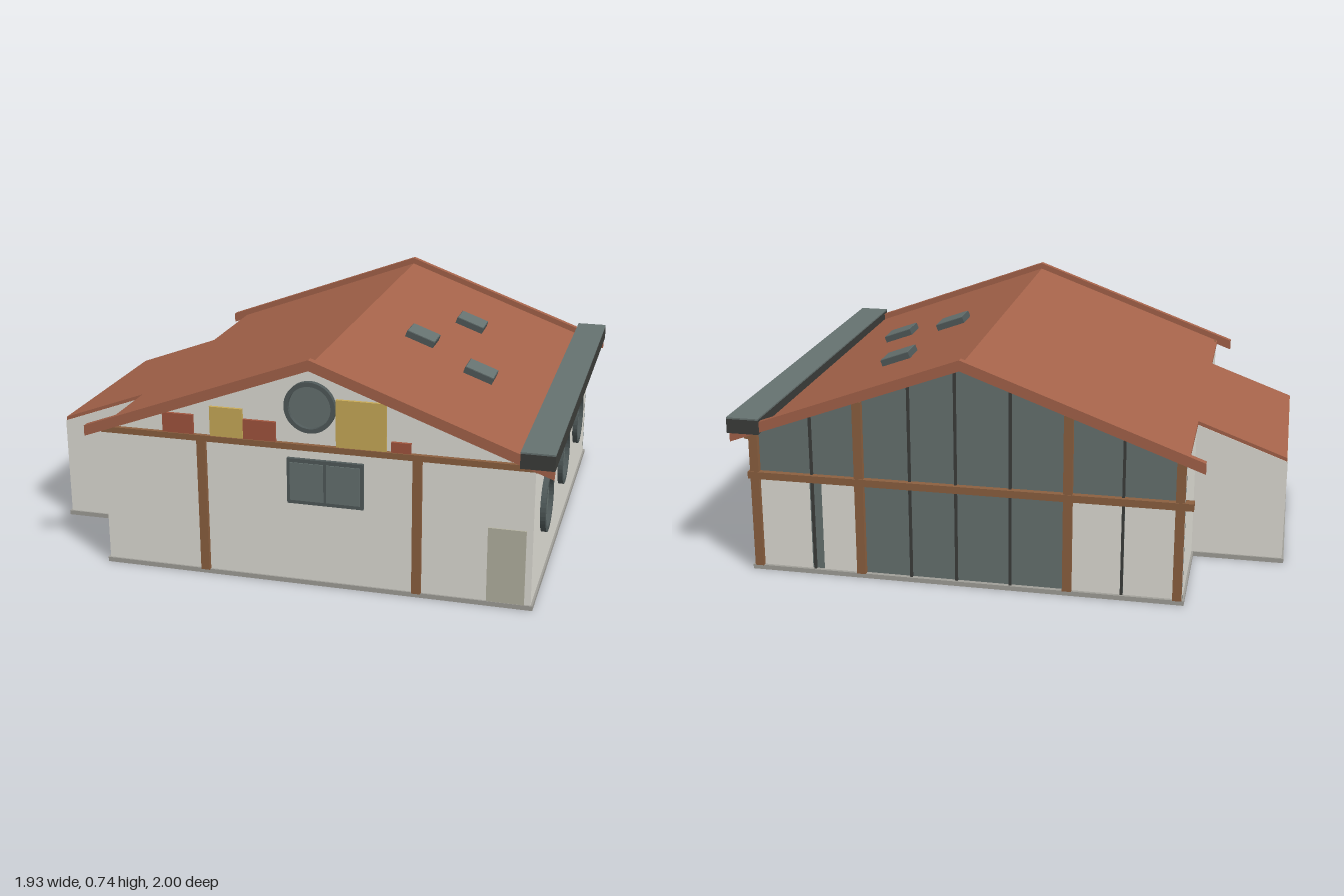
import * as THREE from 'three';

const paint = (name, color) => {
  const m = new THREE.MeshStandardMaterial({ color });
  m.name = name;
  return m;
};

export function createModel() {
  const model = new THREE.Group();
  model.name = 'house';
  const house = new THREE.Group();
  house.name = 'rotatedHouse';
  house.rotation.y = 0.477;
  model.add(house);

  const roofRed = paint('roof red', 0xa5634a);
  const plaster = paint('plaster', 0xe0ded6);
  const timber = paint('timber', 0x8c6040);
  const glass = paint('slate glass', 0x667270);
  const dark = paint('dark metal', 0x3c3d3a);
  const rim = paint('window rim', 0x505a5a);
  const stone = paint('plinth grey', 0xa19f99);
  const doorTone = paint('door', 0xb5b3a2);
  const yellow = paint('ochre', 0xc9ab58);
  const brick = paint('brick', 0xa2553e);

  const add = (name, geo, mat) => {
    const mesh = new THREE.Mesh(geo, mat);
    mesh.name = name;
    house.add(mesh);
    return mesh;
  };
  // Box given by its limits: x along the ridge, z across it
  const box = (name, mat, x0, x1, y0, y1, z0, z1) => {
    const g = new THREE.BoxGeometry(x1 - x0, y1 - y0, z1 - z0);
    g.translate((x0 + x1) / 2, (y0 + y1) / 2, (z0 + z1) / 2);
    return add(name, g, mat);
  };
  // Profile of [z, y] points, extruded along x
  const prism = (name, mat, pts, x0, x1) => {
    const shape = new THREE.Shape(pts.map(([z, y]) => new THREE.Vector2(z, y)));
    const g = new THREE.ExtrudeGeometry(shape, { depth: x1 - x0, bevelEnabled: false });
    g.rotateY(-Math.PI / 2);
    g.translate(x1, 0, 0);
    return add(name, g, mat);
  };

  const L = -0.695, R = 0.673, F = 0.68, B = -0.68;   // wall limits
  const EL = -0.378, ER = 0.297, EB = -0.97;          // rear extension
  const SLOPE = 0.368, PEAK = 0.714, T = 0.012, BASE = 0.015;
  const roofY = (z) => PEAK - SLOPE * Math.abs(z);
  const under = (z) => roofY(z) - T;
  const W = 0.01;                                     // wall thickness

  // Walls
  box('frontWall', plaster, L, R, BASE, 0.45, F - W, F);
  const gable = [[B, BASE], [F, BASE], [F, under(F)], [0, under(0)], [B, under(B)]];
  prism('leftGableWall', plaster, gable, L, L + W);
  box('backWallLeft', plaster, L, EL, BASE, under(B), B, B + W);
  box('backWallRight', plaster, ER, R, BASE, under(B), B, B + W);
  box('extensionBackWall', plaster, EL, ER, BASE, under(EB), EB, EB + W);
  const side = [[EB, BASE], [B + W, BASE], [B + W, under(B + W)], [EB, under(EB)]];
  prism('extensionSideWall', plaster, side, EL, EL + W);
  prism('extensionSideWall', plaster, side, ER - W, ER);

  // Plinth ring, open underneath
  const P = 0.006, Q = 0.022;
  [
    [L - P, R + P, F - Q, F + P], [L - P, L + Q, B - P, F + P], [R - Q, R + P, B - P, F + P],
    [L - P, EL + Q, B - P, B + Q], [ER - Q, R + P, B - P, B + Q],
    [EL - P, ER + P, EB - P, EB + Q], [EL - P, EL + Q, EB - P, B], [ER - Q, ER + P, EB - P, B],
  ].forEach(([x0, x1, z0, z1]) => box('plinth', stone, x0, x1, 0, BASE, z0, z1));

  // Roof slopes, rear extension slope and raised verge boards
  const slab = (z0, z1) => [[z0, under(z0)], [z1, under(z1)], [z1, roofY(z1)], [z0, roofY(z0)]];
  prism('frontRoof', roofRed, slab(0, 0.7), L, R);
  prism('backRoof', roofRed, slab(B - 0.004, 0), L, R);
  prism('extensionRoof', roofRed, slab(EB + 0.002, B), EL + 0.002, ER - 0.002);
  const E = 0.735, top = (z) => 0.735 - SLOPE * Math.abs(z), H = 0.034;
  const verge = [[-E, top(E) - H], [0, top(0) - H], [E, top(E) - H], [E, top(E)], [0, top(0)], [-E, top(E)]];
  prism('leftVergeBoard', roofRed, verge, L - 0.02, L + 0.002);
  prism('rightVergeBoard', roofRed, verge, R - 0.005, R + 0.017);

  // Box gutter with slate top, and timber plate below it
  box('gutter', dark, -0.727, 0.7, 0.462, 0.508, 0.637, 0.739);
  box('gutterTop', glass, -0.727, 0.7, 0.508, 0.513, 0.637, 0.739);
  box('eavesBeam', timber, L, R + 0.008, 0.44, 0.464, F - 0.015, F + 0.012);

  // Skylights lying on the front slope
  [[-0.083, 0.205], [0.257, 0.307], [-0.178, 0.42]].forEach(([x, z]) => {
    const s = new THREE.Group();
    s.name = 'skylight';
    const frame = new THREE.Mesh(new THREE.BoxGeometry(0.095, 0.022, 0.1), rim);
    frame.name = 'skylightFrame';
    const pane = new THREE.Mesh(new THREE.BoxGeometry(0.09, 0.004, 0.095), glass);
    pane.name = 'skylightPane';
    pane.position.y = 0.011;
    s.add(frame, pane);
    s.position.set(x, roofY(z) + 0.01, z);
    s.rotation.x = Math.atan(SLOPE);
    house.add(s);
  });

  // Round windows: rim ring with a glass disc showing on both sides
  const roundWindow = (name, x, y, z, r, turn) => {
    const g = new THREE.Group();
    g.name = name;
    const ring = new THREE.Shape().absarc(0, 0, r, 0, Math.PI * 2);
    ring.holes.push(new THREE.Path().absarc(0, 0, r * 0.83, 0, Math.PI * 2, true));
    const ringGeo = new THREE.ExtrudeGeometry(ring, { depth: 0.02, bevelEnabled: false, curveSegments: 20 });
    const discGeo = new THREE.CylinderGeometry(r * 0.86, r * 0.86, 0.02, 36).rotateX(Math.PI / 2);
    const a = new THREE.Mesh(ringGeo, rim), b = new THREE.Mesh(discGeo, glass);
    a.name = 'windowRim';
    b.name = 'windowPane';
    b.position.z = -0.004;
    g.add(a, b);
    g.position.set(x, y, z);
    g.rotation.y = turn;
    house.add(g);
  };
  [-0.472, -0.066, 0.34].forEach((x) => roundWindow('roundWindow', x, 0.265, F - 0.003, 0.096, 0));
  roundWindow('gableRoundWindow', L + 0.003, 0.585, 0, 0.08, -Math.PI / 2);

  // Left gable: tie beam, posts, window, door and coloured panels
  box('leftTieBeam', timber, L - 0.014, L + 0.024, 0.447, 0.466, B, F);
  [-0.35, 0.33].forEach((z) => box('leftPost', timber, L - 0.014, L + 0.024, BASE, 0.45, z - 0.014, z + 0.014));
  box('leftWindowFrame', rim, L - 0.012, L + 0.022, 0.272, 0.418, -0.075, 0.165);
  [[-0.065, 0.04], [0.05, 0.155]].forEach(([a, b]) =>
    box('leftWindowPane', glass, L - 0.015, L + 0.025, 0.284, 0.406, a, b));
  box('door', doorTone, L - 0.005, L + W + 0.005, BASE, 0.255, 0.545, 0.66);
  [
    [brick, 0.466, 0.528, -0.475, -0.375], [yellow, 0.466, 0.56, -0.32, -0.215],
    [brick, 0.466, 0.528, -0.213, -0.11], [yellow, 0.466, 0.615, 0.08, 0.235],
    [brick, 0.466, 0.498, 0.25, 0.31],
  ].forEach(([mat, y0, y1, z0, z1]) => box('gablePanel', mat, L - 0.01, L + 0.02, y0, y1, z0, z1));

  // Right gable: glazed front with timber frame
  prism('gableGlazing', glass, gable, R - 0.016, R - 0.008);
  [[0.49, 0.65], [0.34, 0.45], [-0.49, -0.34], [-0.65, -0.5]].forEach(([z0, z1]) =>
    box('infillPanel', plaster, R - 0.018, R - 0.004, BASE, 0.31, z0, z1));
  [0.48, 0.165, 0.02, -0.15, -0.495].forEach((z) =>
    box('mullion', dark, R - 0.02, R, BASE, under(z), z - 0.004, z + 0.004));
  [0.663, 0.325, -0.328, -0.665].forEach((z) =>
    box('rightPost', timber, R - 0.02, R + 0.01, BASE, under(z), z - 0.014, z + 0.014));
  box('rightCrossBeam', timber, R - 0.02, R + 0.012, 0.31, 0.333, -0.705, 0.685);

  return model;
}
